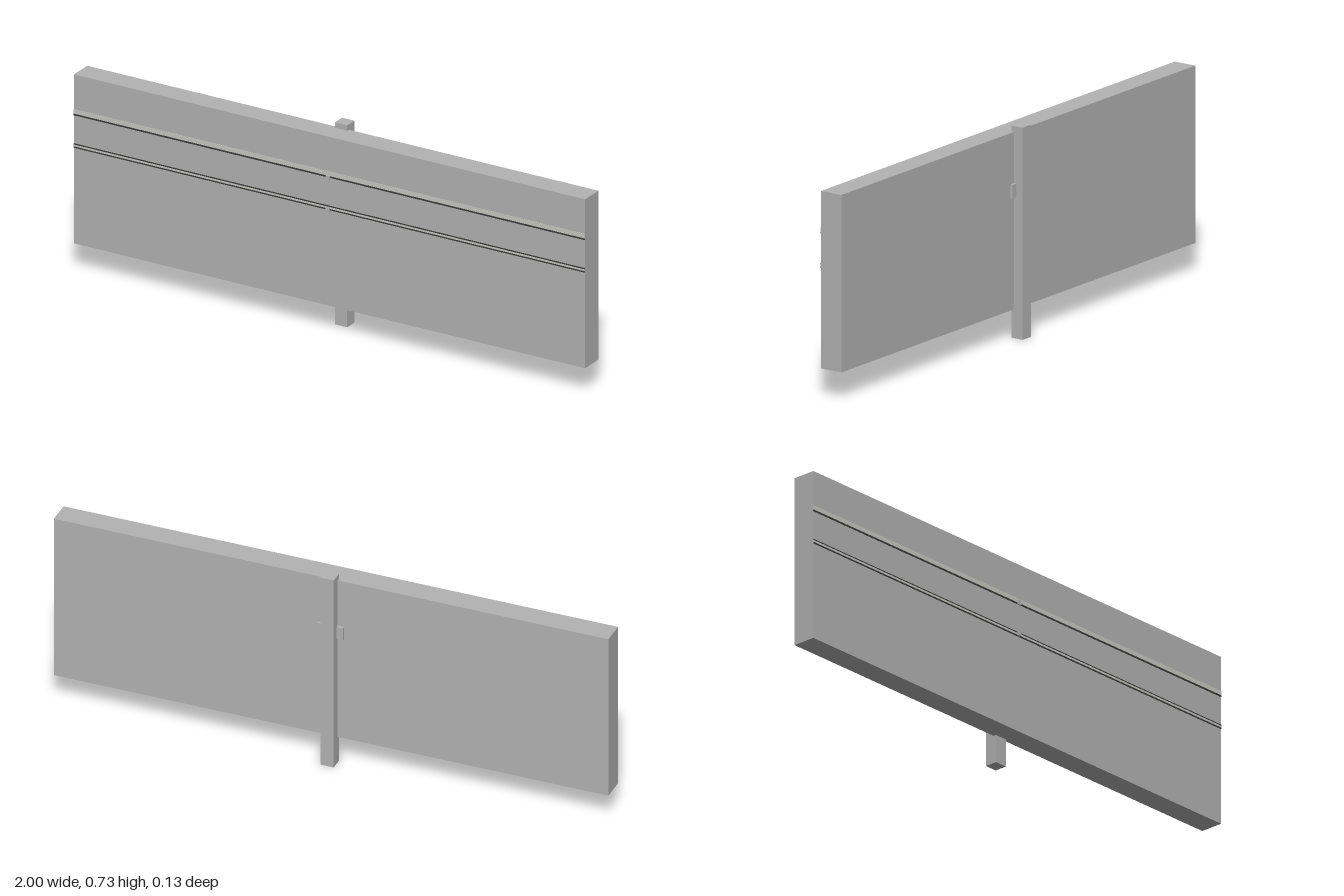
import * as THREE from 'three';

export function createModel() {
  const model = new THREE.Group();
  const grey = new THREE.MeshStandardMaterial({ color: 0xb2b2b2 });
  grey.name = 'grey';
  const paleGrey = new THREE.MeshStandardMaterial({ color: 0xc8c8c2 });
  paleGrey.name = 'pale grey';
  const darkGrey = new THREE.MeshStandardMaterial({ color: 0x3a3a3a });
  darkGrey.name = 'dark grey';

  // Box from its lower and upper limits on each axis
  function box(name, material, [x0, x1], [y0, y1], [z0, z1]) {
    const mesh = new THREE.Mesh(new THREE.BoxGeometry(x1 - x0, y1 - y0, z1 - z0), material);
    mesh.position.set((x0 + x1) / 2, (y0 + y1) / 2, (z0 + z1) / 2);
    mesh.name = name;
    model.add(mesh);
  }

  // Main board, supporting post and the bracket joining them
  box('board', grey, [-1, 1], [0.1, 0.714], [-0.031, 0.054]);
  box('post', grey, [-0.024, 0.024], [0, 0.734], [-0.066, -0.02]);
  box('bracket', grey, [-0.047, 0.047], [0.49, 0.537], [-0.041, -0.03]);

  // Thin stripes along the board face: bottom, top, material
  const stripes = [
    [0.566, 0.572, darkGrey],
    [0.572, 0.588, paleGrey],
    [0.448, 0.453, darkGrey],
    [0.453, 0.46, paleGrey],
    [0.46, 0.464, darkGrey],
  ];
  for (const [y0, y1, material] of stripes) {
    box('stripe', material, [-1, 1], [y0, y1], [0.053, 0.0555]);
  }

  // Small clips standing just in front of the stripes
  for (const y of [0.568, 0.454]) {
    box('clip', grey, [-0.007, 0.007], [y - 0.008, y + 0.008], [0.061, 0.067]);
  }

  return model;
}
